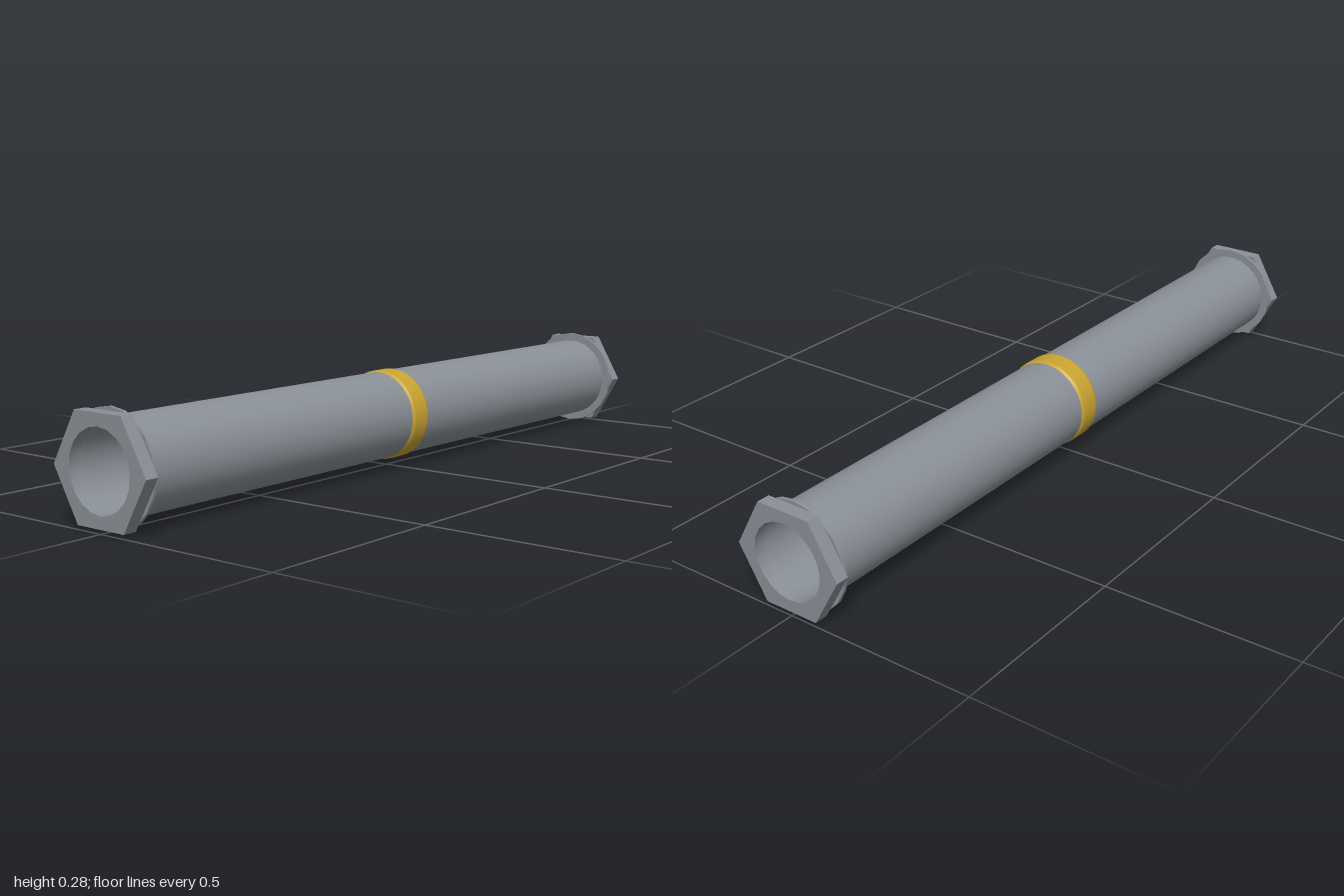
import * as THREE from 'three';
import { toCreasedNormals } from 'three/addons/utils/BufferGeometryUtils.js';

const AXIS_Y = 0.138;

function polygon(sides, radius) {
  return Array.from({ length: sides }, (_, i) => {
    const a = (i / sides) * Math.PI * 2;
    return new THREE.Vector2(Math.cos(a) * radius, Math.sin(a) * radius);
  });
}

// Flat plate with a round hole, from z0 to z1
function holedPlate(sides, radius, holeRadius, z0, z1) {
  const shape = new THREE.Shape(polygon(sides, radius));
  shape.holes.push(new THREE.Path(polygon(20, holeRadius)));
  const plate = new THREE.ExtrudeGeometry(shape, { depth: z1 - z0, bevelEnabled: false });
  return toCreasedNormals(plate.translate(0, 0, z0), Math.PI / 7);
}

export function createModel() {
  const steel = new THREE.MeshStandardMaterial({ color: 0x8a9097, side: THREE.DoubleSide });
  steel.name = 'grey steel';
  const gold = new THREE.MeshStandardMaterial({ color: 0xc9a432 });
  gold.name = 'gold';

  const model = new THREE.Group();
  model.name = 'pipe';
  const add = (parent, name, geometry, material) => {
    const mesh = new THREE.Mesh(geometry, material);
    mesh.name = name;
    parent.add(mesh);
    return mesh;
  };

  // Hollow pipe: outer and inner walls
  for (const [name, radius] of [['outerWall', 0.115], ['innerWall', 0.103]]) {
    const wall = new THREE.CylinderGeometry(radius, radius, 1.93, 40, 1, true);
    add(model, name, wall.rotateX(Math.PI / 2), steel).position.y = AXIS_Y;
  }

  // Middle band, solid across the bore, with chamfered rims
  const profile = [[0, -0.034], [0.115, -0.034], [0.119, -0.026], [0.119, 0.026], [0.115, 0.034], [0, 0.034]]
    .map(([r, y]) => new THREE.Vector2(r, y));
  const band = toCreasedNormals(new THREE.LatheGeometry(profile, 40), Math.PI / 9);
  add(model, 'middleBand', band.rotateX(Math.PI / 2), gold).position.y = AXIS_Y;

  // Matching end fittings: hexagonal nut and thin collar
  for (const [name, turn] of [['frontFitting', 0], ['backFitting', Math.PI]]) {
    const fitting = new THREE.Group();
    fitting.name = name;
    fitting.position.y = AXIS_Y;
    fitting.rotation.y = turn;
    add(fitting, 'hexNut', holedPlate(6, 0.148, 0.098, 0.966, 1), steel);
    add(fitting, 'collar', holedPlate(20, 0.138, 0.103, 0.957, 0.966), steel);
    model.add(fitting);
  }
  return model;
}
